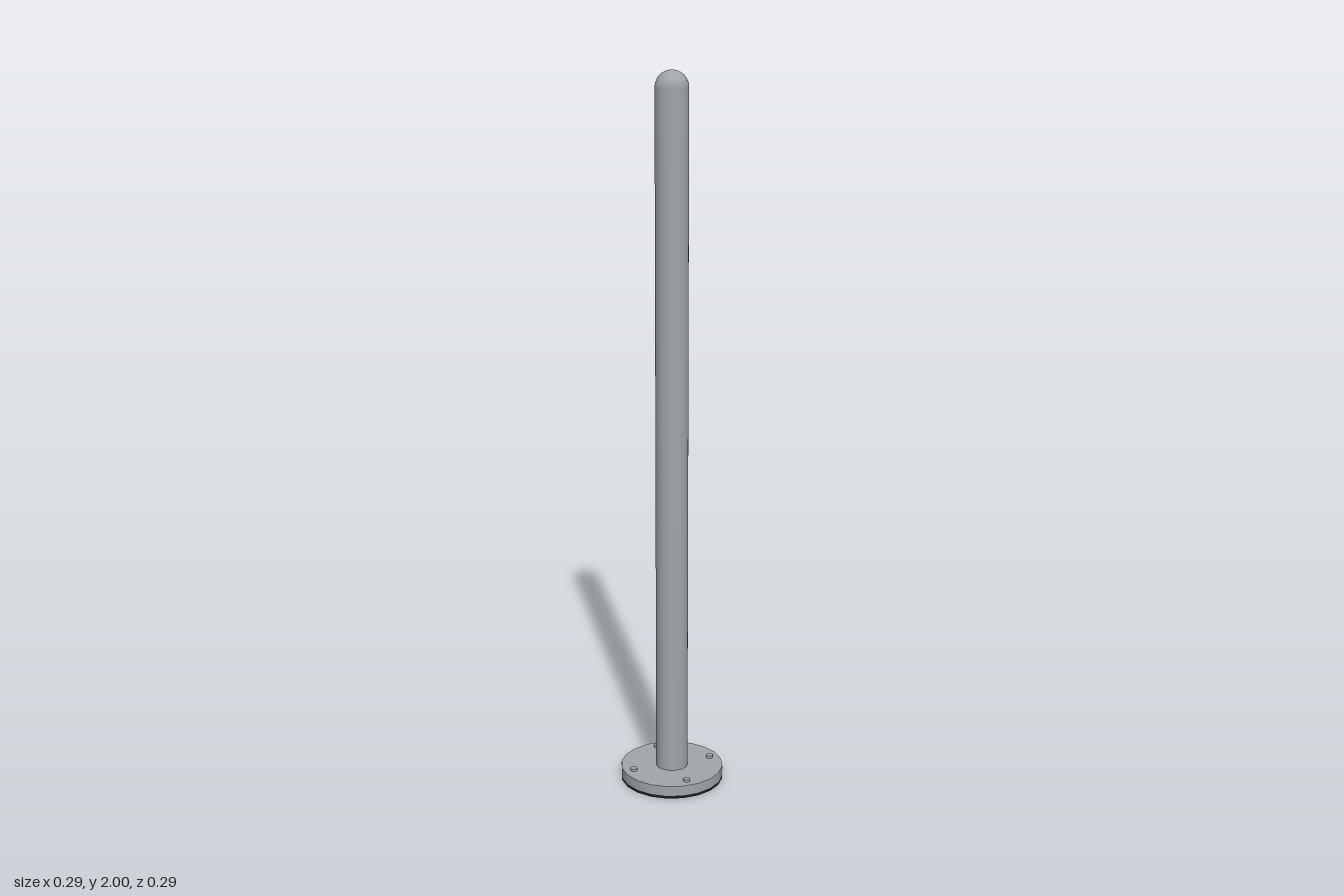
import * as THREE from 'three';

export function createModel() {
  const model = new THREE.Group();
  const steel = new THREE.MeshStandardMaterial({ color: 0xa0a6a8 });
  steel.name = 'galvanised steel';
  const rubber = new THREE.MeshStandardMaterial({ color: 0x1a1e1f });
  rubber.name = 'black rubber';

  const add = (name, geometry, material, x, y, z) => {
    const mesh = new THREE.Mesh(geometry, material);
    mesh.name = name;
    mesh.position.set(x, y, z);
    model.add(mesh);
  };
  // upright cylinder given by its bottom and top heights
  const post = (name, r, y0, y1, sides, material, x = 0, z = 0) =>
    add(name, new THREE.CylinderGeometry(r, r, y1 - y0, sides), material, x, (y0 + y1) / 2, z);

  // foot: thin gasket under a round flange
  post('gasket', 0.145, 0, 0.008, 20, rubber);
  post('flange', 0.145, 0.008, 0.037, 20, steel);

  // four anchor bolts
  for (const x of [-0.082, 0.082]) {
    for (const z of [-0.082, 0.082]) post('anchorBolt', 0.01, 0.03, 0.044, 12, steel, x, z);
  }

  // pole with a domed cap
  const radius = 0.045;
  post('pole', radius, 0.037, 2 - radius, 24, steel);
  add('domeCap', new THREE.SphereGeometry(radius, 24, 10, 0, Math.PI * 2, 0, Math.PI / 2),
    steel, 0, 2 - radius, 0);

  return model;
}
